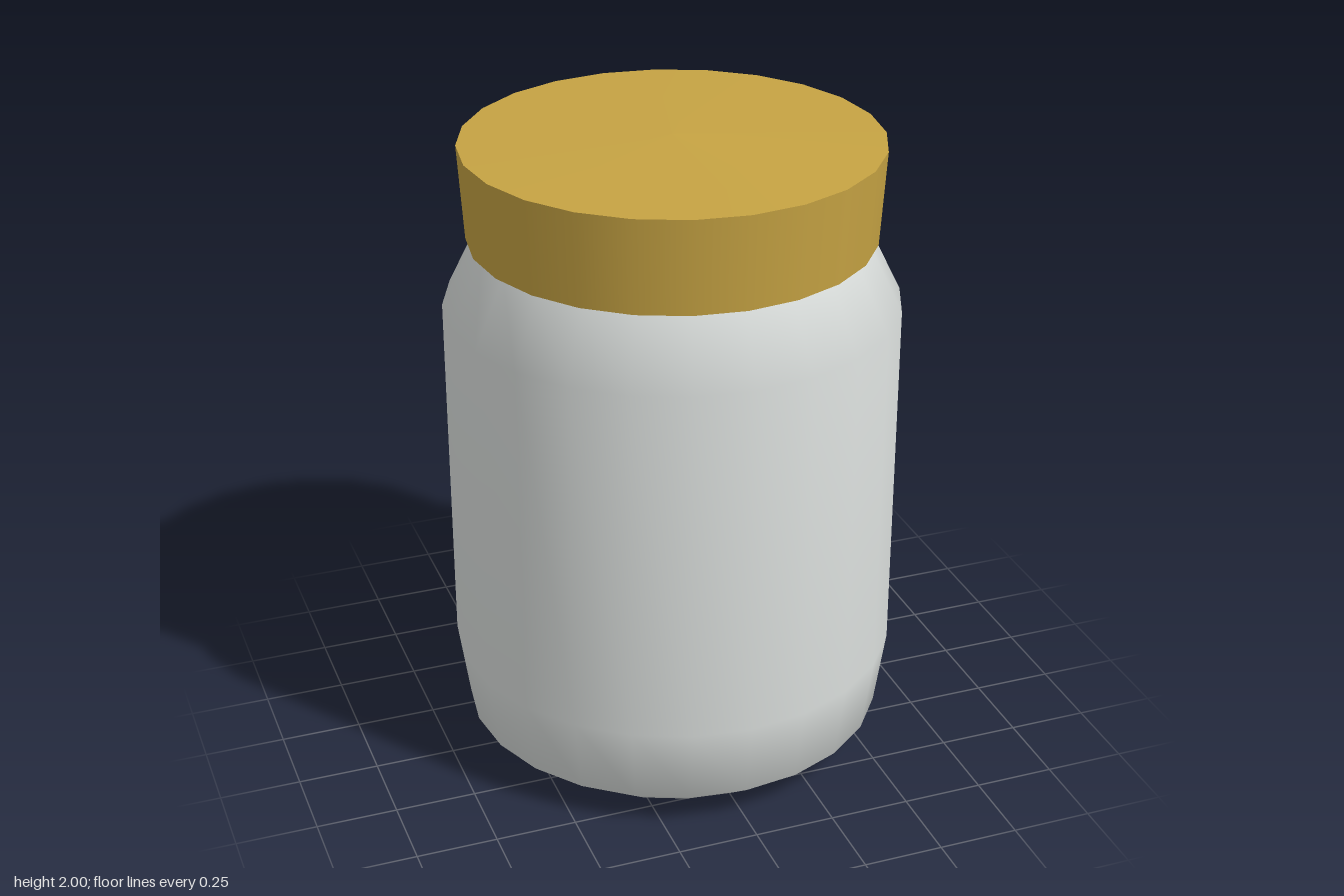
import * as THREE from 'three';

const SIDES = 24;

// Revolves a profile of [radius, height] pairs
function revolve(name, profile, material) {
  const points = profile.map(([r, y]) => new THREE.Vector2(r, y));
  const mesh = new THREE.Mesh(new THREE.LatheGeometry(points, SIDES), material);
  mesh.name = name;
  return mesh;
}

export function createModel() {
  const glass = new THREE.MeshStandardMaterial({ color: 0xdbdfdd });
  glass.name = 'pale glass';
  const gold = new THREE.MeshStandardMaterial({ color: 0xc6a343 });
  gold.name = 'gold lid';

  const jar = new THREE.Group();
  jar.name = 'jar';

  // Smooth body: base, chamfered foot, straight wall, shoulder and neck
  jar.add(revolve('body', [
    [0, 0], [0.52, 0], [0.66, 0.105], [0.695, 0.35],
    [0.695, 1.48], [0.592, 1.69], [0.58, 1.75],
  ], glass));

  // Lid: separate pieces keep its rims crisp
  const lid = new THREE.Group();
  lid.name = 'lid';
  lid.add(
    revolve('lidUnderside', [[0.57, 1.692], [0.617, 1.692]], gold),
    revolve('lidSide', [[0.617, 1.692], [0.635, 1.984]], gold),
    revolve('lidTop', [[0.635, 1.984], [0, 2]], gold),
  );
  jar.add(lid);
  return jar;
}
